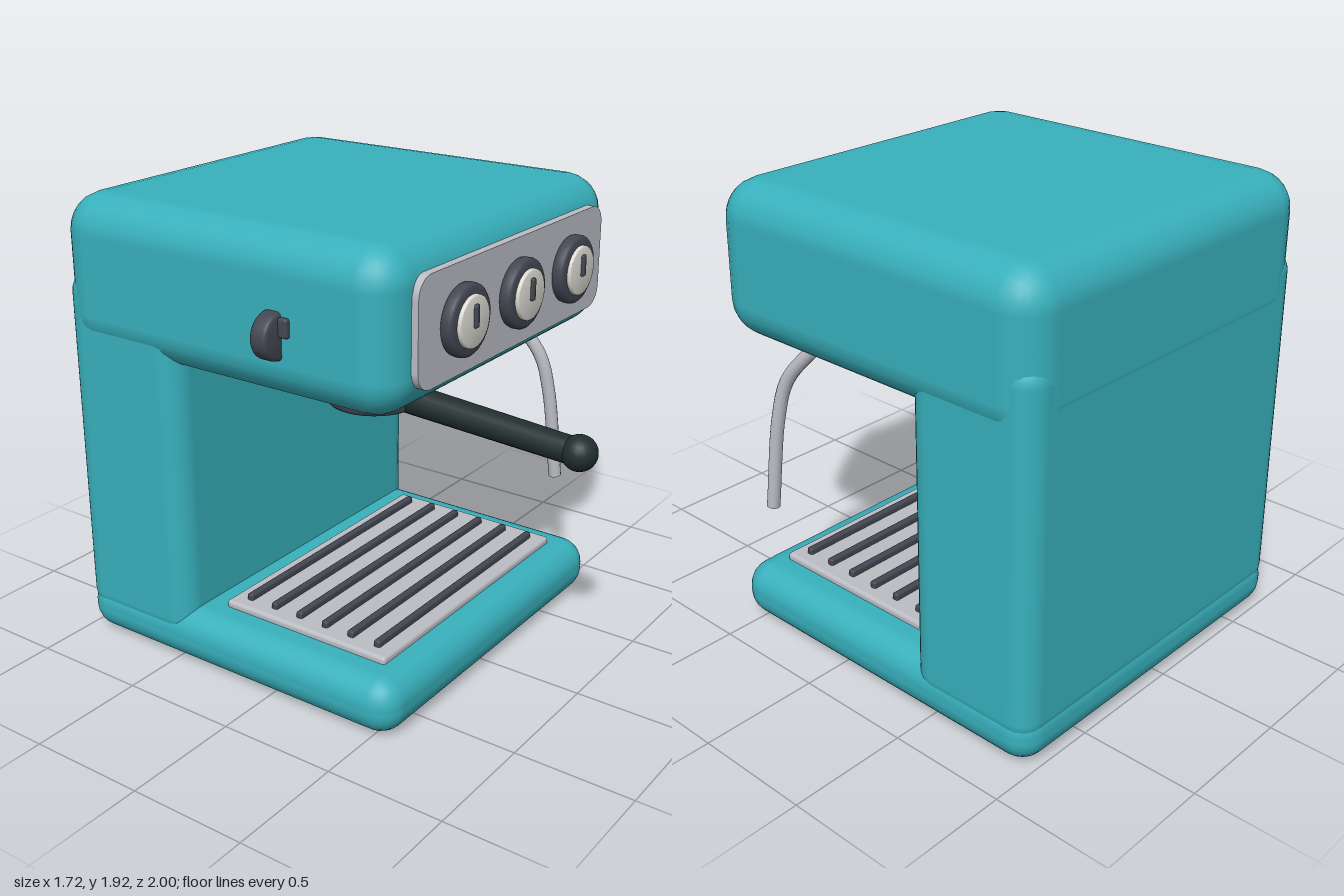
import * as THREE from 'three';
import { toCreasedNormals } from 'three/addons/utils/BufferGeometryUtils.js';
import { RoundedBoxGeometry } from 'three/addons/geometries/RoundedBoxGeometry.js';

const CX = 0.045; // centre line of the machine body

function paint(name, color) {
  const m = new THREE.MeshStandardMaterial({ color });
  m.name = name;
  return m;
}

// Rounded box given by its lower and upper corners
function block(name, min, max, radius, material) {
  const s = max.map((v, i) => v - min[i]);
  const mesh = new THREE.Mesh(new RoundedBoxGeometry(s[0], s[1], s[2], 3, radius), material);
  mesh.name = name;
  mesh.position.set(...max.map((v, i) => (v + min[i]) / 2));
  return mesh;
}

// Upright disc standing on y = 0 with rounded rims
function discGeometry(r, h, bevel) {
  const pts = [new THREE.Vector2(0, 0)];
  for (const [cy, start] of [[bevel, -Math.PI / 2], [h - bevel, 0]]) {
    for (let i = 0; i <= 3; i++) {
      const a = start + (i / 3) * Math.PI / 2;
      pts.push(new THREE.Vector2(r - bevel + bevel * Math.cos(a), cy + bevel * Math.sin(a)));
    }
  }
  pts.push(new THREE.Vector2(0, h));
  return toCreasedNormals(new THREE.LatheGeometry(pts, 32), 0.7);
}

function disc(name, r, h, bevel, material, x, y, z, facingFront = false) {
  const mesh = new THREE.Mesh(discGeometry(r, h, bevel), material);
  mesh.name = name;
  mesh.position.set(x, y, z);
  if (facingFront) mesh.rotation.x = Math.PI / 2;
  return mesh;
}

function roundedRect(w, h, r) {
  const s = new THREE.Shape();
  const x = w / 2 - r, y = h / 2 - r;
  s.absarc(x, y, r, 0, Math.PI / 2);
  s.absarc(-x, y, r, Math.PI / 2, Math.PI);
  s.absarc(-x, -y, r, Math.PI, Math.PI * 1.5);
  s.absarc(x, -y, r, Math.PI * 1.5, Math.PI * 2);
  return s;
}

export function createModel() {
  const teal = paint('teal enamel', 0x38b0bc);
  const silver = paint('brushed silver', 0xbbbdc4);
  const charcoal = paint('charcoal plastic', 0x434752);
  const cream = paint('cream dial', 0xdcdad2);
  const grip = paint('black grip', 0x212e2e);

  const model = new THREE.Group();
  model.name = 'espressoMachine';

  // Housing
  model.add(
    block('base', [-0.757, 0, -1], [0.847, 0.242, 0.6], 0.11, teal),
    block('backColumn', [-0.755, 0.09, -0.997], [0.845, 1.62, -0.415], 0.1, teal),
    block('head', [-0.767, 1.29, -1], [0.857, 1.925, 0.6], 0.155, teal)
  );

  // Control panel
  const panel = new THREE.Mesh(
    new THREE.ExtrudeGeometry(roundedRect(1.34, 0.425, 0.08), { depth: 0.04, bevelEnabled: false, curveSegments: 6 }),
    silver
  );
  panel.name = 'controlPanel';
  panel.position.set(CX, 1.607, 0.586);
  model.add(panel);

  // Three dials with pointers
  for (const x of [-0.4, 0, 0.4]) {
    const dial = new THREE.Group();
    dial.name = 'dial';
    dial.position.set(CX + x, 1.607, 0.62);
    dial.add(
      disc('dialRing', 0.138, 0.055, 0.018, charcoal, 0, 0, 0, true),
      disc('dialFace', 0.1, 0.02, 0.006, cream, 0, 0, 0.05, true),
      block('dialPointer', [-0.013, -0.022, 0.06], [0.013, 0.066, 0.082], 0.008, charcoal)
    );
    model.add(dial);
  }

  // Steam knob half sunk in the side of the head
  model.add(
    disc('steamKnob', 0.092, 0.075, 0.015, charcoal, -0.768, 1.555, 0.062, true),
    block('steamKnobPointer', [-0.786, 1.555, 0.13], [-0.752, 1.63, 0.175], 0.01, charcoal)
  );

  // Brew group and filter holder
  model.add(
    disc('brewGroup', 0.213, 0.19, 0.035, silver, CX, 1.14, -0.037),
    disc('filterHolder', 0.204, 0.135, 0.025, charcoal, CX, 1.02, -0.037)
  );

  // Filter handle with ball end
  const from = new THREE.Vector3(CX, 1.07, 0.1), to = new THREE.Vector3(CX, 1.02, 0.925);
  const dir = to.clone().sub(from);
  const handle = new THREE.Mesh(new THREE.CylinderGeometry(0.056, 0.063, dir.length(), 16), grip);
  handle.name = 'filterHandle';
  handle.position.copy(from).add(to).multiplyScalar(0.5);
  handle.quaternion.setFromUnitVectors(new THREE.Vector3(0, 1, 0), dir.normalize());
  const ball = new THREE.Mesh(new THREE.SphereGeometry(0.073, 20, 14), grip);
  ball.name = 'filterHandleEnd';
  ball.position.copy(to);
  model.add(handle, ball);

  // Steam wand with a closed tip
  const path = new THREE.CatmullRomCurve3([
    new THREE.Vector3(0.675, 1.31, 0.205),
    new THREE.Vector3(0.722, 1.12, 0.36),
    new THREE.Vector3(0.742, 0.95, 0.405),
    new THREE.Vector3(0.766, 0.54, 0.445),
  ]);
  const wand = new THREE.Mesh(new THREE.TubeGeometry(path, 20, 0.028, 12), silver);
  wand.name = 'steamWand';
  const tip = new THREE.Mesh(new THREE.CircleGeometry(0.028, 12), silver);
  tip.name = 'steamWandTip';
  tip.position.copy(path.getPoint(1));
  tip.quaternion.setFromUnitVectors(new THREE.Vector3(0, 0, 1), path.getTangent(1));
  model.add(wand, tip);

  // Drip tray and its grille bars
  model.add(block('dripTray', [-0.6, 0.22, -0.33], [0.69, 0.27, 0.47], 0.016, silver));
  for (let i = 0; i < 6; i++) {
    const z = 0.393 - i * 0.1285;
    model.add(block('grilleBar', [-0.545, 0.255, z - 0.015], [0.635, 0.296, z + 0.015], 0.009, charcoal));
  }

  return model;
}
